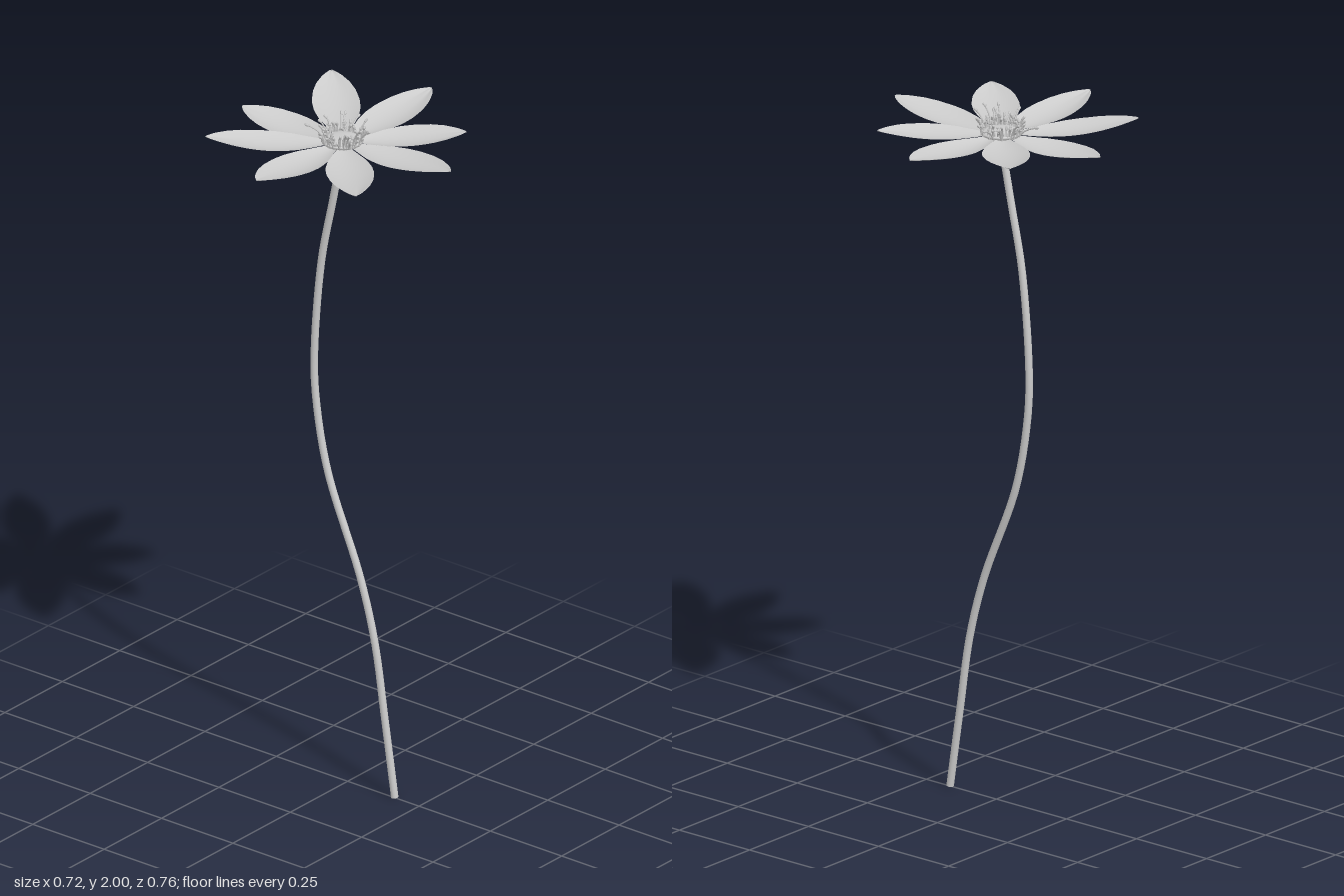
import * as THREE from 'three';
import { mergeGeometries } from 'three/addons/utils/BufferGeometryUtils.js';

const CX = -0.018; // flower centre in x
const V = (x, y, z) => new THREE.Vector3(x, y, z);

function named(name, geometry, material) {
  const mesh = new THREE.Mesh(geometry, material);
  mesh.name = name;
  return mesh;
}

// Half width of a petal along its length, as [t, half width]
const OUTLINE = [[0, 0.012], [0.13, 0.032], [0.28, 0.053], [0.42, 0.064], [0.55, 0.066],
  [0.7, 0.059], [0.82, 0.046], [0.92, 0.028], [0.97, 0.016], [1, 0.005]];

function halfWidth(t) {
  let i = 1;
  while (i < OUTLINE.length - 1 && OUTLINE[i][0] < t) i++;
  const [t0, w0] = OUTLINE[i - 1], [t1, w1] = OUTLINE[i];
  return w0 + (w1 - w0) * (t - t0) / (t1 - t0);
}

// Shallow cupped blade from the flower centre to the tip (x, y, z)
function petalGeometry(tipX, tipY, tipZ, sag) {
  const geo = new THREE.PlaneGeometry(1, 1, 10, 28);
  const pos = geo.attributes.position;
  const dx = tipX - CX, dz = tipZ, reach = Math.hypot(dx, dz);
  const ux = dx / reach, uz = dz / reach;
  for (let i = 0; i < pos.count; i++) {
    const s = pos.getX(i) * 2;
    const t = Math.sin((pos.getY(i) + 0.5) * Math.PI / 2);
    const w = halfWidth(t);
    const r = 0.035 + (reach - 0.035) * t - 0.004 * s * s * t;
    const y = 1.932 + (tipY - 1.932) * t * t - sag * Math.sin(Math.PI * t)
      + 0.014 * s * s * (w / 0.066) + 0.0015 * Math.cos(s * 9) * t ** 6;
    pos.setXYZ(i, CX + ux * r - uz * s * w, y, uz * r + ux * s * w);
  }
  geo.computeVertexNormals();
  return geo;
}

// Curved filament with a rounded anther at its end
function stamenGeometry(angle, r0, r1, top, twist) {
  const at = (a, r, y) => V(CX + Math.cos(a) * r, y, Math.sin(a) * r);
  const end = at(angle + twist, r1, top);
  const curve = new THREE.QuadraticBezierCurve3(at(angle, r0, 1.932),
    at(angle + twist * 0.3, r0 + (r1 - r0) * 0.25, 1.932 + (top - 1.932) * 0.75), end);
  const filament = new THREE.TubeGeometry(curve, 5, 0.0024, 5);
  const anther = new THREE.CapsuleGeometry(0.0038, 0.007, 2, 6);
  anther.applyQuaternion(new THREE.Quaternion().setFromUnitVectors(V(0, 1, 0), curve.getTangent(1)));
  anther.translate(end.x, end.y, end.z);
  return [filament, anther].map((g) => g.toNonIndexed());
}

export function createModel() {
  const model = new THREE.Group();
  const grey = new THREE.MeshStandardMaterial({ color: 0xcccccc });
  const thin = new THREE.MeshStandardMaterial({ color: 0xcccccc, side: THREE.DoubleSide });

  // Stem: gentle S-bend in the x-y plane, closed at the foot
  const path = new THREE.CatmullRomCurve3([[0.165, 0.002], [0.13, 0.23], [0.095, 0.45], [0.045, 0.63],
    [-0.07, 0.92], [-0.11, 1.12], [-0.117, 1.25], [-0.092, 1.55], [-0.053, 1.74], [CX, 1.905]]
    .map(([x, y]) => V(x, y, 0)));
  model.add(named('stem', new THREE.TubeGeometry(path, 48, 0.0105, 12), grey));
  const foot = named('stemFoot', new THREE.CircleGeometry(0.0105, 12), thin);
  foot.position.copy(path.getPoint(0));
  foot.lookAt(foot.position.clone().sub(path.getTangent(0)));
  model.add(foot);

  // Receptacle: flared cup under the petals with a low dome on top
  const profile = [[0.010, 1.865], [0.013, 1.885], [0.018, 1.902], [0.028, 1.917], [0.045, 1.928],
    [0.056, 1.935], [0.054, 1.94], [0.045, 1.944], [0.025, 1.948], [0, 1.949]]
    .map(([r, y]) => new THREE.Vector2(r, y));
  const receptacle = named('receptacle', new THREE.LatheGeometry(profile, 28), grey);
  receptacle.position.x = CX;
  model.add(receptacle);

  // Petals: tip x, y, z and sag
  const petals = new THREE.Group();
  petals.name = 'petals';
  [[0.362, 1.958, 0, 0.008], [0.247, 1.95, 0.272, 0.008], [-0.016, 1.958, 0.378, 0.009],
    [-0.284, 1.968, 0.266, 0.008], [-0.362, 1.942, 0.01, 0.015], [-0.28, 1.968, -0.276, 0.006],
    [-0.01, 1.958, -0.378, 0.009], [0.228, 1.95, -0.234, 0.006]]
    .forEach((p, i) => petals.add(named(`petal${i + 1}`, petalGeometry(...p), thin)));
  model.add(petals);

  // Stamens: a dense upright ring and a few long ones leaning outwards
  let seed = 7;
  const rand = () => (seed = (seed * 16807) % 2147483647) / 2147483647;
  const parts = [];
  for (let i = 0; i < 64; i++) {
    const r0 = 0.046 + rand() * 0.01;
    parts.push(...stamenGeometry((i + rand() * 0.6) / 64 * Math.PI * 2, r0,
      r0 + (rand() - 0.35) * 0.018, 1.95 + rand() * 0.022, (rand() - 0.5) * 0.3));
  }
  // Long stamens: angle in degrees, reach, tip height
  [[-5, 0.088, 1.985], [32, 0.094, 1.97], [48, 0.085, 1.99], [40, 0.075, 1.98], [60, 0.085, 1.965],
    [80, 0.082, 1.975], [92, 0.078, 1.985], [20, 0.082, 1.994], [162, 0.105, 1.965], [175, 0.07, 1.98],
    [232, 0.095, 1.975], [228, 0.085, 1.98], [255, 0.098, 1.97], [200, 0.08, 1.978], [300, 0.07, 1.985]]
    .forEach(([a, reach, top]) => parts.push(
      ...stamenGeometry(a * Math.PI / 180, 0.052, reach, top, (rand() - 0.5) * 0.2)));
  model.add(named('stamens', mergeGeometries(parts), grey));

  return model;
}
